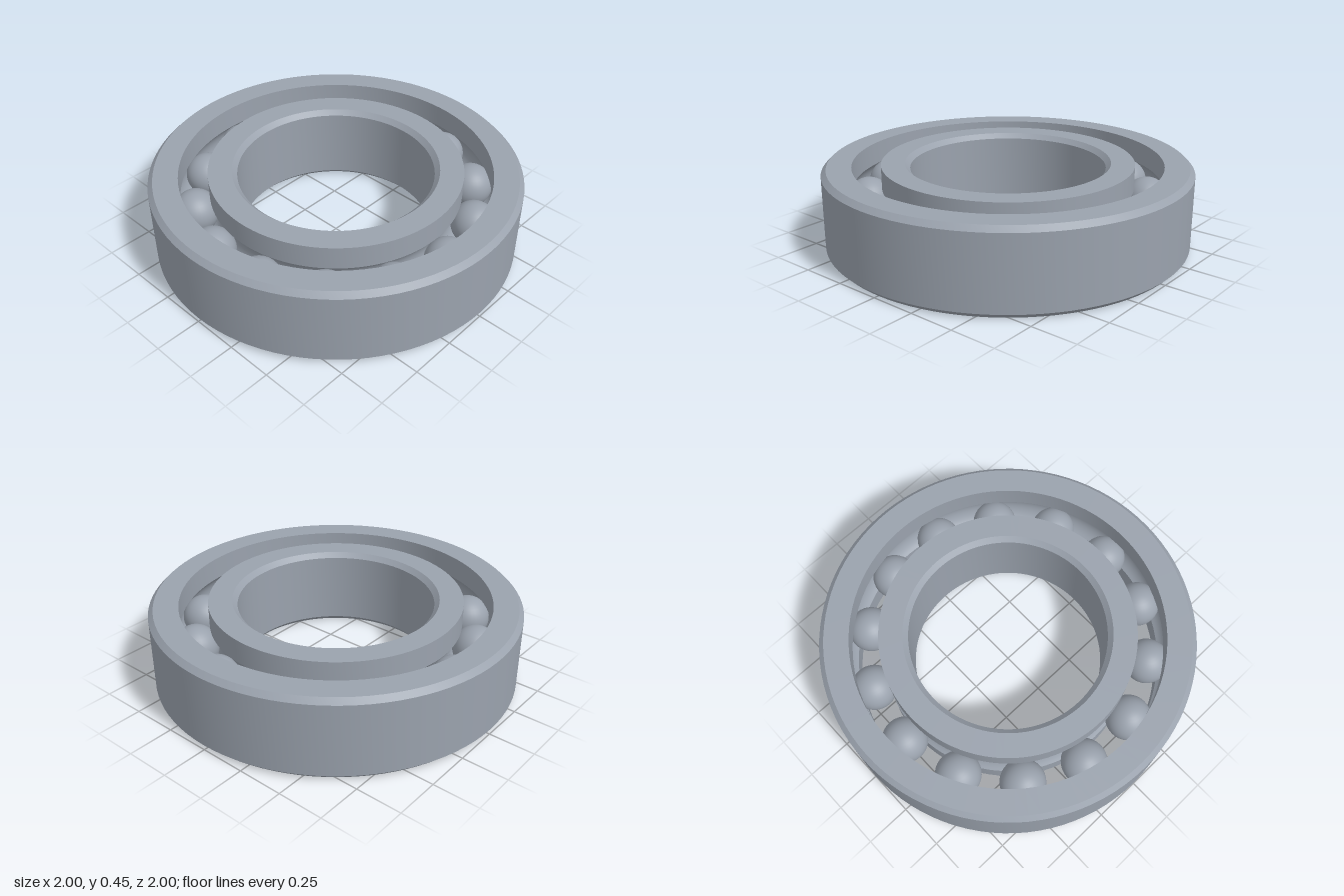
import * as THREE from 'three';
import { toCreasedNormals } from 'three/addons/utils/BufferGeometryUtils.js';

const HEIGHT = 0.45, MID = HEIGHT / 2, CHAMFER = 0.027;
const PITCH = 0.765, BALL_RADIUS = 0.123, GROOVE_RADIUS = 0.125, BALLS = 14;

// Ball track cut into a wall of radius r, running from angle -a to a around the ball centre
function groove(r) {
  const a = Math.acos(Math.abs(r - PITCH) / GROOVE_RADIUS);
  const side = Math.sign(r - PITCH), points = [];
  for (let i = 0; i <= 14; i++) {
    const t = -a + (2 * a * i) / 14;
    points.push([PITCH + side * GROOVE_RADIUS * Math.cos(t), MID + GROOVE_RADIUS * Math.sin(t)]);
  }
  return points;
}

// Closed [radius, height] profile, counter-clockwise, spun with sharp edges kept
function ring(name, profile, material) {
  const points = [...profile, profile[0]].map(([r, y]) => new THREE.Vector2(r, y));
  const geometry = toCreasedNormals(new THREE.LatheGeometry(points, 96), 0.45);
  const mesh = new THREE.Mesh(geometry, material);
  mesh.name = name;
  return mesh;
}

export function createModel() {
  const model = new THREE.Group();
  model.name = 'ballBearing';
  const steel = new THREE.MeshStandardMaterial({ color: 0x9aa2ad });
  steel.name = 'steel';

  // Outer race: chamfered outside, grooved inside
  const outerWall = 0.84;
  model.add(ring('outerRace', [
    [1 - CHAMFER, 0], [1, CHAMFER], [1, HEIGHT - CHAMFER], [1 - CHAMFER, HEIGHT],
    [outerWall, HEIGHT], ...groove(outerWall).reverse(), [outerWall, 0],
  ], steel));

  // Inner race: grooved outside, chamfered bore
  const innerWall = 0.685, bore = 0.53;
  model.add(ring('innerRace', [
    [innerWall, 0], ...groove(innerWall), [innerWall, HEIGHT],
    [bore + CHAMFER, HEIGHT], [bore, HEIGHT - CHAMFER], [bore, CHAMFER], [bore + CHAMFER, 0],
  ], steel));

  // Balls, evenly spaced with a slight turn
  const balls = new THREE.Group();
  balls.name = 'balls';
  const ballGeometry = new THREE.SphereGeometry(BALL_RADIUS, 32, 20);
  for (let i = 0; i < BALLS; i++) {
    const a = THREE.MathUtils.degToRad(91 + (i * 360) / BALLS);
    const ball = new THREE.Mesh(ballGeometry, steel);
    ball.name = 'ball';
    ball.position.set(PITCH * Math.cos(a), MID, -PITCH * Math.sin(a));
    balls.add(ball);
  }
  model.add(balls);
  return model;
}
